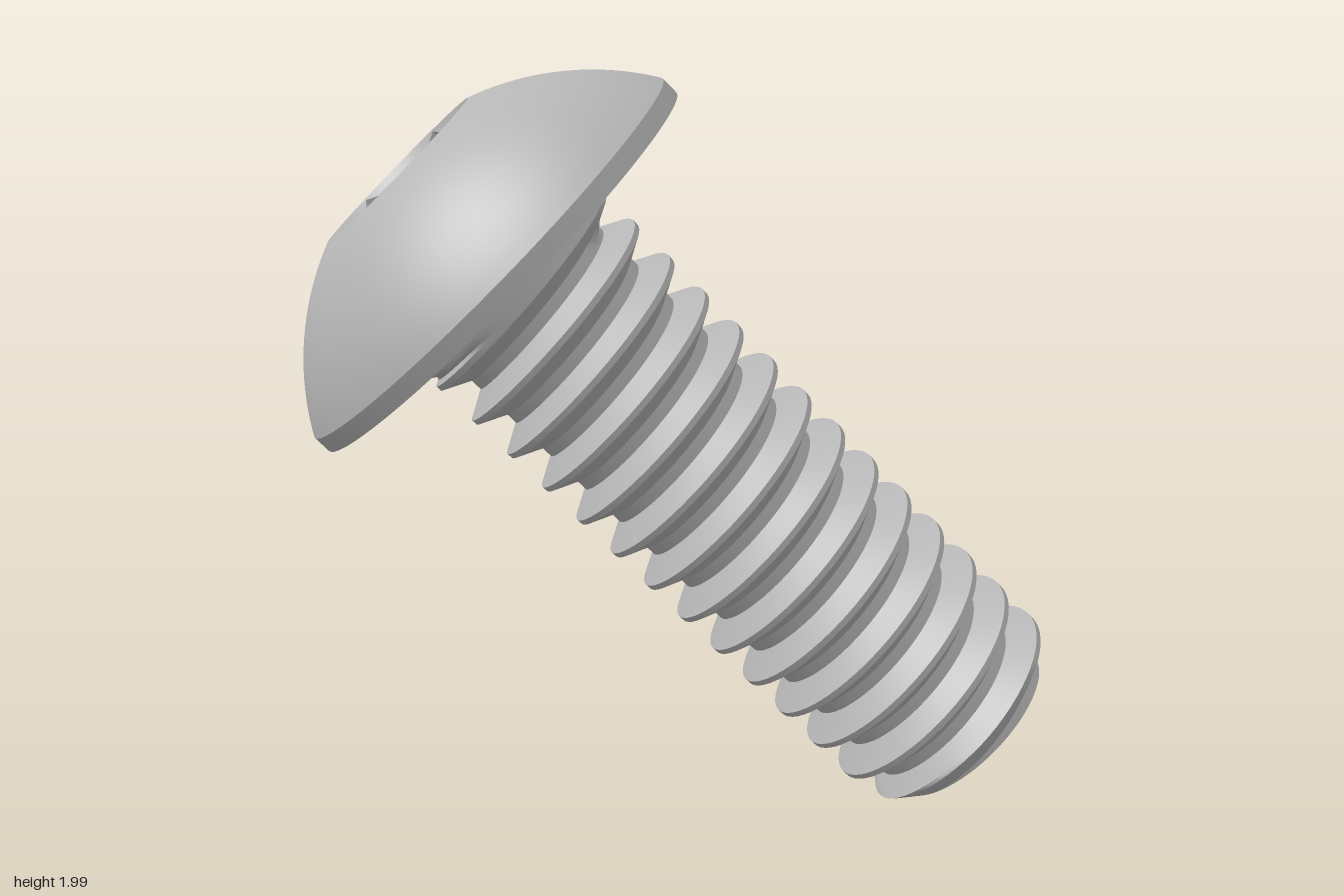
import * as THREE from 'three';
import { toCreasedNormals } from 'three/addons/utils/BufferGeometryUtils.js';

const LENGTH = 1.823, ROOT = 0.262, MAJOR = 0.337, PITCH = 0.13;   // shank
const HEAD_R = 0.65, HEAD_H = 0.37, RIM = 0.05;                    // head
const SOCKET_R = 0.26, SOCKET_FLAT = 0.222, SOCKET_DEPTH = 0.17;   // hex socket

// Surface from a grid of points: i runs round the axis, j along the section
function grid(nu, nv, point) {
  const pos = [], idx = [];
  for (let i = 0; i <= nu; i++)
    for (let j = 0; j <= nv; j++) pos.push(...point(i, j));
  for (let i = 0; i < nu; i++)
    for (let j = 0; j < nv; j++) {
      const a = i * (nv + 1) + j, b = a + nv + 1;
      idx.push(a, b, a + 1, b, b + 1, a + 1);
    }
  const g = new THREE.BufferGeometry();
  g.setAttribute('position', new THREE.Float32BufferAttribute(pos, 3));
  g.setIndex(idx);
  return toCreasedNormals(g, 0.5);
}

const polar = (r, angle, y) => [r * Math.cos(angle), y, -r * Math.sin(angle)];

// Domed head with flat underside and a short straight rim
function headGeometry() {
  const c = (HEAD_R ** 2 + RIM ** 2 - SOCKET_R ** 2 - HEAD_H ** 2) / (2 * (HEAD_H - RIM));
  const rho = Math.hypot(HEAD_R, RIM + c);
  const a0 = Math.asin((RIM + c) / rho), a1 = Math.acos(SOCKET_R / rho);
  const pts = [new THREE.Vector2(0, 0), new THREE.Vector2(HEAD_R, 0)];
  for (let k = 0; k <= 20; k++) {
    const a = a0 + (a1 - a0) * k / 20;
    pts.push(new THREE.Vector2(rho * Math.cos(a), rho * Math.sin(a) - c));
  }
  return toCreasedNormals(new THREE.LatheGeometry(pts, 72), 0.5);
}

// Hex socket: countersunk mouth, six walls, shallow conical floor
function socketGeometry() {
  return grid(72, 3, (i, j) => {
    const a = i / 72 * Math.PI * 2;
    const sector = Math.PI / 3;
    const off = a - Math.round(a / sector) * sector;   // flats at 0, 60, 120...
    const hex = SOCKET_FLAT / Math.cos(off);
    if (j === 0) return polar(SOCKET_R, a, HEAD_H);
    if (j === 1) return polar(hex, a, HEAD_H - (SOCKET_R - hex) * 1.1);
    if (j === 2) return polar(hex, a, HEAD_H - SOCKET_DEPTH);
    return polar(0, a, HEAD_H - SOCKET_DEPTH - 0.07);
  });
}

// Right-hand thread with a chamfered tip and a run-out under the head
function threadGeometry() {
  const s = [0, 0.125, 0.21, 0.29, 0.37, 0.4375, 0.5625, 0.63, 0.71, 0.79, 0.875, 1];
  const seg = 64, turns = Math.ceil(LENGTH / PITCH) + 1;
  return grid(turns * seg, s.length - 1, (i, j) => {
    const y = THREE.MathUtils.clamp(-LENGTH + (i / seg + s[j] - 1) * PITCH, -LENGTH, 0);
    const d = Math.abs(s[j] - 0.5) * 2;
    let r = ROOT + (MAJOR - ROOT) * THREE.MathUtils.clamp((0.75 - d) / 0.625, 0, 1);
    r = Math.max(r, MAJOR - Math.max(0, -y - 0.06) * 2);
    r = Math.min(r, ROOT + LENGTH + y);
    return polar(r, i / seg * Math.PI * 2, y);
  });
}

export function createModel() {
  const steel = new THREE.MeshStandardMaterial({ color: 0xb5b5b5 });
  steel.name = 'steel grey';

  const screw = new THREE.Group();
  screw.name = 'screw';
  const add = (name, geometry) => {
    const mesh = new THREE.Mesh(geometry, steel);
    mesh.name = name;
    screw.add(mesh);
    return mesh;
  };
  add('head', headGeometry());
  add('hexSocket', socketGeometry());
  add('threadedShank', threadGeometry());
  add('tipFace', new THREE.CircleGeometry(ROOT, 64).rotateX(Math.PI / 2)).position.y = -LENGTH;

  // Tilt the screw so its head points up, forward and to its right
  const axis = new THREE.Vector3(-0.5, Math.SQRT1_2, 0.5);
  const side = new THREE.Vector3(Math.SQRT1_2, 0, Math.SQRT1_2);
  const third = new THREE.Vector3().crossVectors(side, axis);
  screw.quaternion.setFromRotationMatrix(new THREE.Matrix4().makeBasis(side, axis, third));
  screw.position.set(-0.281, 1.475, 0.281);

  const model = new THREE.Group();
  model.name = 'buttonHeadScrew';
  model.add(screw);
  return model;
}
